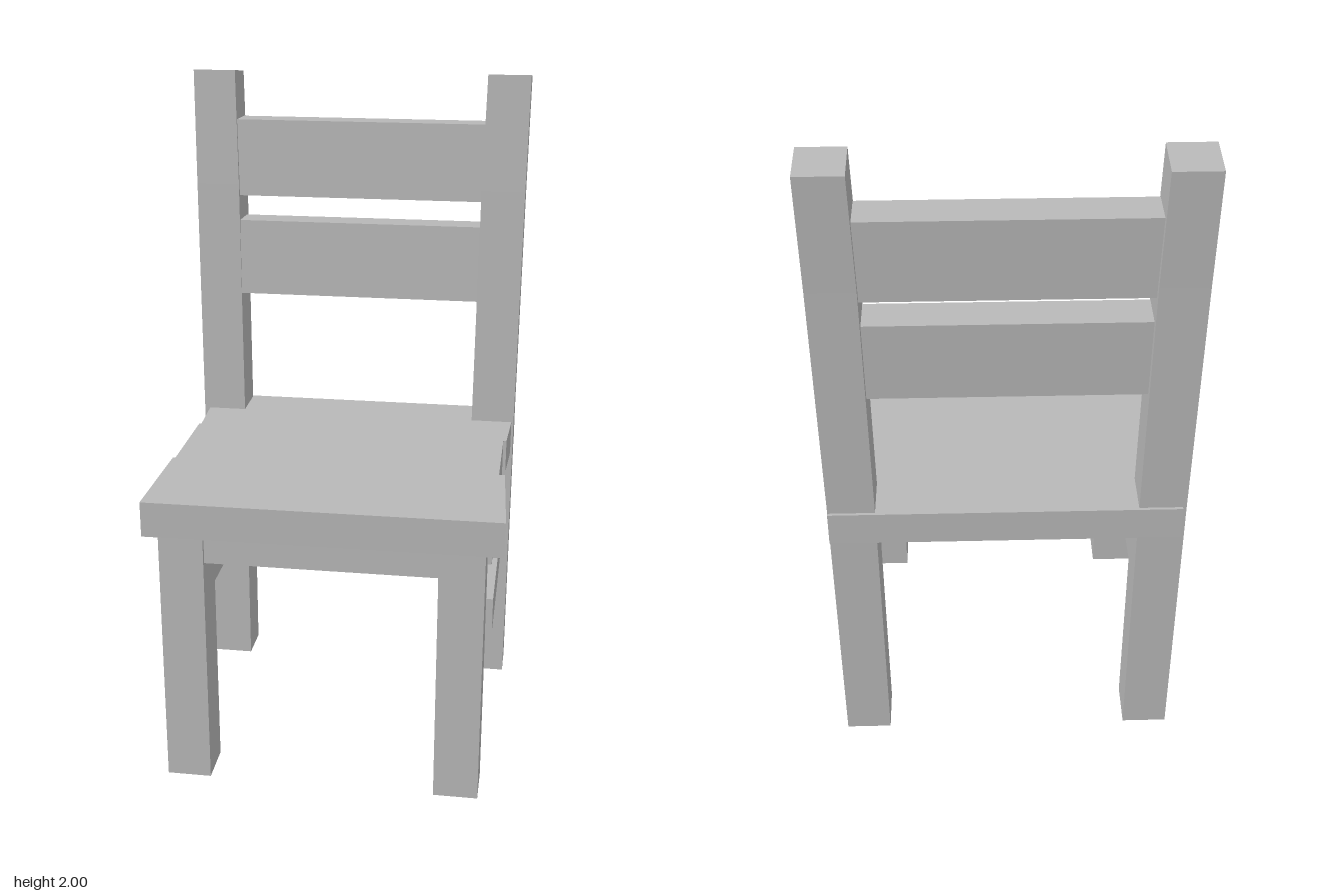
import * as THREE from 'three';

export function createModel() {
  const chair = new THREE.Group();
  chair.name = 'chair';
  const wood = new THREE.MeshStandardMaterial({ color: 0xb8b8b8 });
  wood.name = 'plain grey wood';
  wood.flatShading = true;

  const add = (name, geometry) => {
    const mesh = new THREE.Mesh(geometry, wood);
    mesh.name = name;
    chair.add(mesh);
    return mesh;
  };

  // Straight board given by its limits on each axis
  const board = (name, [x0, x1], [y0, y1], [z0, z1], segZ = 1) => {
    const g = new THREE.BoxGeometry(x1 - x0, y1 - y0, z1 - z0, 1, 1, segZ);
    g.translate((x0 + x1) / 2, (y0 + y1) / 2, (z0 + z1) / 2);
    return add(name, g);
  };

  // Post through rectangular sections: [yFront, yBack, xOuter, xInner, zFront, zBack]
  const post = (name, side, sections) => {
    const n = sections.length - 1;
    const g = new THREE.BoxGeometry(1, 1, 1, 1, n, 1);
    const p = g.attributes.position;
    for (let i = 0; i < p.count; i++) {
      const [yf, yb, xo, xi, zf, zb] = sections[Math.round((p.getY(i) + 0.5) * n)];
      const front = p.getZ(i) > 0;
      const outer = p.getX(i) * side > 0;
      p.setXYZ(i, side * (outer ? xo : xi), front ? yf : yb, front ? zf : zb);
    }
    g.computeVertexNormals();
    add(name, g);
  };

  for (const side of [-1, 1]) {
    const label = side > 0 ? 'left' : 'right';
    const span = (a, b) => (side > 0 ? [a, b] : [-b, -a]);

    // Back post, leaning gently backwards
    post(label + 'BackPost', side, [
      [0.005, 0, 0.507, 0.372, -0.312, -0.443],
      [0.9, 0.9, 0.51, 0.375, -0.324, -0.456],
      [1.65, 1.65, 0.516, 0.382, -0.345, -0.477],
      [2.0, 1.985, 0.52, 0.39, -0.362, -0.49],
    ]);

    // Front leg, side apron and side stretcher
    board(label + 'FrontLeg', span(0.337, 0.468), [0, 0.8], [0.32, 0.452]);
    board(label + 'SideApron', span(0.4, 0.48), [0.705, 0.8], [-0.33, 0.33]);
    const stretcher = board(label + 'Stretcher', span(0.39, 0.488), [0.49, 0.595], [-0.33, 0.33], 6);
    // Slight sag along the stretcher's lower edge
    const p = stretcher.geometry.attributes.position;
    for (let i = 0; i < p.count; i++) {
      if (p.getY(i) < 0.55) p.setY(i, 0.49 - 0.008 * Math.cos((p.getZ(i) / 0.33) * Math.PI / 2));
    }
    stretcher.geometry.computeVertexNormals();
  }

  // Front apron between the front legs
  board('frontApron', [-0.34, 0.34], [0.705, 0.8], [0.36, 0.44]);

  // Seat slab with slightly stepped plank ends
  const outline = [
    [-0.505, 0.49], [0.52, 0.485], [0.502, 0.135], [0.485, 0.135],
    [0.485, -0.15], [0.495, -0.15], [0.51, -0.465], [-0.5, -0.465],
    [-0.485, -0.165], [-0.492, -0.165], [-0.492, 0.14], [-0.5, 0.14],
  ];
  const seatShape = new THREE.Shape(outline.map(([x, z]) => new THREE.Vector2(x, -z)));
  const seat = new THREE.ExtrudeGeometry(seatShape, { depth: 0.105, bevelEnabled: false });
  seat.rotateX(-Math.PI / 2);
  seat.translate(0, 0.8, 0);
  add('seat', seat);

  // Two back slats, tilted with the posts
  for (const [name, y, z] of [['upperSlat', 1.73, -0.41], ['lowerSlat', 1.415, -0.395]]) {
    const slat = add(name, new THREE.BoxGeometry(0.79, 0.237, 0.104));
    slat.position.set(0, y, z);
    slat.rotation.x = -0.035;
  }

  return chair;
}
